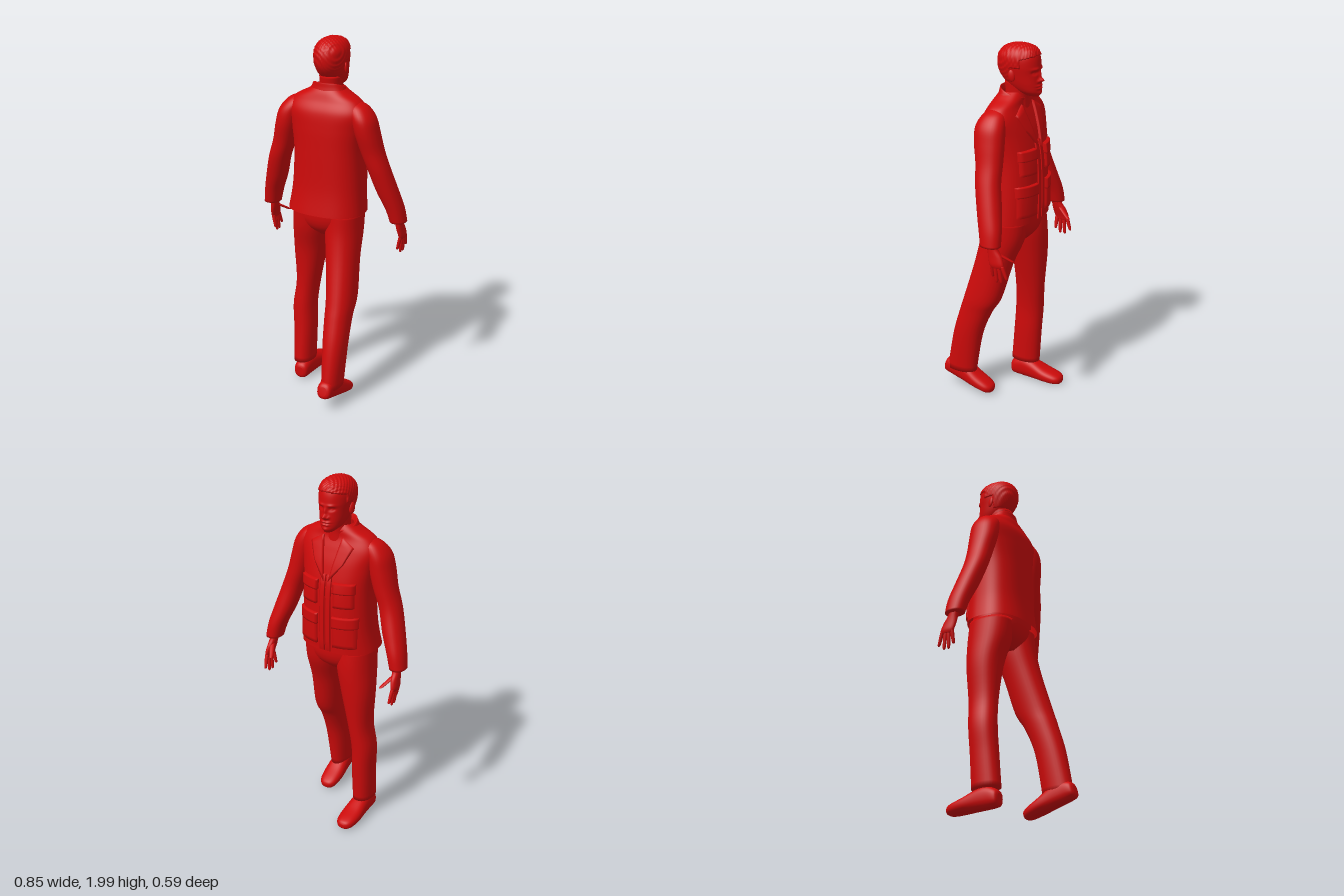
import * as THREE from 'three';

const material = new THREE.MeshStandardMaterial({ color: 0xcc0a0a, side: THREE.DoubleSide });

// Smooth interpolation through rings [cx, cy, cz, rx, r2]
function sample(rings, t) {
  const i = Math.min(Math.floor(t), rings.length - 2), f = t - i;
  const at = k => rings[Math.max(0, Math.min(rings.length - 1, k))];
  const [p, a, b, q] = [at(i - 1), at(i), at(i + 1), at(i + 2)];
  return a.map((v, k) => v + 0.5 * f * (b[k] - p[k] +
    f * (2 * p[k] - 5 * v + 4 * b[k] - q[k] + f * (3 * (v - b[k]) + q[k] - p[k]))));
}

const sp = (v, n) => Math.sign(v) * Math.pow(Math.abs(v), 2 / n);

// Skin over rounded cross-sections. Horizontal rings go upwards, upright rings go towards -z.
function loft(name, rings, { n = 2.2, seg = 32, sub = 5, upright = false, caps = true, rule } = {}) {
  const pos = [], idx = [], rows = (rings.length - 1) * sub;
  const add = (x, y, z) => {
    const p = new THREE.Vector3(x, y, z);
    if (rule) rule(p);
    pos.push(p.x, p.y, p.z);
  };
  for (let j = 0; j <= rows; j++) {
    const [cx, cy, cz, rx, r2] = sample(rings, j / sub);
    for (let i = 0; i < seg; i++) {
      const a = i / seg * Math.PI * 2, u = rx * sp(Math.cos(a), n), v = r2 * sp(Math.sin(a), n);
      upright ? add(cx + u, cy + v, cz) : add(cx + u, cy, cz + v);
    }
  }
  for (let j = 0; j < rows; j++) for (let i = 0; i < seg; i++) {
    const a = j * seg + i, b = j * seg + (i + 1) % seg;
    idx.push(a, a + seg, b, b, a + seg, b + seg);
  }
  if (caps) {
    const c = pos.length / 3, top = rows * seg;
    add(...rings[0].slice(0, 3));
    add(...rings[rings.length - 1].slice(0, 3));
    for (let i = 0; i < seg; i++) {
      const k = (i + 1) % seg;
      idx.push(c, i, k, c + 1, top + k, top + i);
    }
  }
  return meshFrom(name, pos, idx);
}

function meshFrom(name, pos, idx) {
  const g = new THREE.BufferGeometry();
  g.setAttribute('position', new THREE.Float32BufferAttribute(pos, 3));
  g.setIndex(idx);
  g.computeVertexNormals();
  const m = new THREE.Mesh(g, material);
  m.name = name;
  return m;
}

const TORSO = [
  [-0.005, 1.06, -0.06, 0.215, 0.16], [0, 1.2, -0.07, 0.2, 0.153], [0, 1.4, -0.07, 0.193, 0.145],
  [0, 1.53, -0.06, 0.207, 0.13], [0, 1.62, -0.05, 0.225, 0.11], [0, 1.68, -0.052, 0.19, 0.085],
  [0, 1.72, -0.058, 0.12, 0.075], [0, 1.75, -0.062, 0.075, 0.062]];
const TORSO_N = 2.5;

// Depth of the jacket's chest side at (x, y)
function chestZ(x, y) {
  let lo = 0, hi = TORSO.length - 1;
  for (let k = 0; k < 25; k++) {
    const m = (lo + hi) / 2;
    sample(TORSO, m)[1] < y ? lo = m : hi = m;
  }
  const [cx, , cz, rx, rz] = sample(TORSO, lo);
  const u = Math.min(0.97, Math.abs((x - cx) / rx));
  return cz - rz * Math.pow(1 - Math.pow(u, TORSO_N), 1 / TORSO_N);
}

// Raised cloth panel on the chest, between four (x, y) corners
function panel(name, side, [a, b, c, d], thick) {
  const N = 12, pos = [], idx = [];
  const soft = i => i === 0 || i === N ? 0 : Math.max(0, Math.min(1, (i - 0.5) / (N - 1)));
  for (let j = 0; j <= N; j++) for (let i = 0; i <= N; i++) {
    const u = i === N ? 1 : i === 1 ? 0.01 : i === N - 1 ? 0.99 : soft(i);
    const v = j === N ? 1 : j === 1 ? 0.01 : j === N - 1 ? 0.99 : soft(j);
    const mix = k => (a[k] * (1 - u) + b[k] * u) * (1 - v) + (d[k] * (1 - u) + c[k] * u) * v;
    const x = mix(0) * side, y = mix(1), edge = i % N === 0 || j % N === 0;
    pos.push(x, y, chestZ(x, y) - (edge ? -0.004 : thick));
  }
  for (let j = 0; j < N; j++) for (let i = 0; i < N; i++) {
    const p = j * (N + 1) + i, q = p + N + 1;
    side > 0 ? idx.push(p, q, p + 1, p + 1, q, q + 1) : idx.push(p, p + 1, q, p + 1, q + 1, q);
  }
  return meshFrom(name, pos, idx);
}
const rect = (x0, x1, y0, y1) => [[x0, y0], [x1, y0], [x1, y1], [x0, y1]];

const HEAD = [
  [0, 1.732, -0.168, 0.024, 0.038], [0, 1.755, -0.148, 0.05, 0.066], [0, 1.79, -0.121, 0.066, 0.093],
  [0, 1.84, -0.1, 0.077, 0.11], [0, 1.89, -0.094, 0.084, 0.115], [0, 1.935, -0.094, 0.081, 0.108],
  [0, 1.97, -0.098, 0.062, 0.086], [0, 1.988, -0.1, 0.035, 0.05], [0, 1.994, -0.1, 0.008, 0.01]];

// Facial relief: [x, y, width, height, push]
const FACE = [
  [0, 1.818, 0.011, 0.011, 0.024], [0, 1.845, 0.008, 0.022, 0.011], [0.017, 1.814, 0.007, 0.007, 0.009],
  [0.032, 1.858, 0.015, 0.009, -0.013], [0.032, 1.857, 0.008, 0.005, 0.006],
  [0.03, 1.877, 0.022, 0.007, 0.006], [0.012, 1.789, 0.016, 0.005, 0.007],
  [0.01, 1.775, 0.014, 0.005, 0.006], [0, 1.782, 0.024, 0.002, -0.004], [0, 1.75, 0.018, 0.011, 0.007]];

function faceRule(p) {
  if (p.z > -0.13) return;
  for (const [x, y, w, h, push] of FACE)
    p.z -= push * Math.exp(-(((Math.abs(p.x) - x) / w) ** 2) - ((p.y - y) / h) ** 2);
}

// Short rough hair: stands proud above the hairline, sinks into the head below it
function hairRule(p) {
  const line = p.z < -0.14 ? 1.925 + (-0.14 - p.z) * 0.25 : p.z < -0.085 ? 1.88 : 1.8;
  const rough = Math.sin(p.x * 310 + p.y * 170) * Math.sin(p.z * 270 + p.x * 90) * 0.003;
  const s = p.y > line ? 1.05 + rough * 8 : 0.93;
  p.set(p.x * s, p.y + (p.y > line ? 0.004 + rough * 0.6 : 0), -0.097 + (p.z + 0.097) * s);
  p.y = Math.min(p.y, 2);
}

function finger(name, base, tip, r) {
  const rings = [[0, 0.3], [0.08, 0.75], [0.4, 0.95], [0.75, 1.05], [1, 1]].map(([t, k]) => [
    ...[0, 1, 2].map(i => tip[i] + (base[i] - tip[i]) * t), r * k, r * k * 1.1]);
  return loft(name, rings, { n: 2, seg: 12, sub: 3 });
}

function hand(side, dz) {
  const g = new THREE.Group();
  g.name = side > 0 ? 'leftHand' : 'rightHand';
  const P = (x, y, z) => [side * x, y, z + dz];
  g.add(loft('palm', [
    [...P(0.387, 0.91, -0.182), 0.011, 0.036], [...P(0.388, 0.93, -0.18), 0.015, 0.042],
    [...P(0.382, 0.97, -0.168), 0.018, 0.04], [...P(0.378, 1.01, -0.152), 0.02, 0.029],
    [...P(0.375, 1.06, -0.14), 0.022, 0.029]], { seg: 20 }));
  const tips = [[0.372, 0.85, -0.15], [0.378, 0.825, -0.177], [0.38, 0.825, -0.205], [0.382, 0.85, -0.238]];
  tips.forEach((t, i) => g.add(finger('finger', P(0.388, 0.925, -0.152 - i * 0.02), P(...t), 0.0095)));
  g.add(finger('thumb', P(0.375, 0.985, -0.175), P(0.335, 0.935, -0.25), 0.012));
  return g;
}

function arm(side, dz) {
  return loft(side > 0 ? 'leftSleeve' : 'rightSleeve', [
    [0.38, 1.02, -0.14, 0.044, 0.055], [0.362, 1.1, -0.128, 0.049, 0.062], [0.328, 1.2, -0.103, 0.057, 0.066],
    [0.292, 1.32, -0.075, 0.058, 0.068], [0.258, 1.42, -0.062, 0.06, 0.073], [0.233, 1.52, -0.048, 0.063, 0.082],
    [0.212, 1.6, -0.043, 0.063, 0.08], [0.18, 1.655, -0.047, 0.055, 0.06], [0.165, 1.68, -0.05, 0.025, 0.03],
  ].map(([x, y, z, a, b]) => [side * x, y, z + dz * Math.min(1, (1.68 - y) / 0.35), a, b]));
}

function shoe(name, x) {
  const m = loft(name, [
    [0, 0.05, 0.022, 0.02, 0.025], [0, 0.052, 0.008, 0.04, 0.045], [0, 0.062, -0.05, 0.046, 0.06],
    [0, 0.058, -0.11, 0.051, 0.056], [0, 0.043, -0.19, 0.057, 0.04], [0, 0.034, -0.255, 0.051, 0.031],
    [0, 0.03, -0.285, 0.035, 0.023], [0, 0.028, -0.296, 0.014, 0.01]],
  { upright: true, n: 2.4, rule: p => { p.y = Math.max(p.y, 0.006); } });
  m.position.x = x;
  return m;
}

export function createModel() {
  const model = new THREE.Group();
  model.name = 'walkingMan';

  // Head and neck
  model.add(loft('head', HEAD, { seg: 128, sub: 12, rule: faceRule }));
  model.add(loft('hair', HEAD, { seg: 96, sub: 10, rule: hairRule }));
  model.add(loft('neck', [[0, 1.64, -0.075, 0.075, 0.07], [0, 1.72, -0.08, 0.058, 0.062],
    [0, 1.8, -0.085, 0.06, 0.072]]));
  for (const s of [1, -1]) {
    const ear = new THREE.Mesh(new THREE.SphereGeometry(1, 16, 12), material);
    ear.name = s > 0 ? 'leftEar' : 'rightEar';
    ear.scale.set(0.009, 0.031, 0.018);
    ear.position.set(s * 0.083, 1.842, -0.092);
    ear.rotation.set(0.2, s * 0.35, 0);
    model.add(ear);
  }

  // Jacket with open hem, collar, lapels and pockets
  model.add(loft('jacket', TORSO, { n: TORSO_N, seg: 64, sub: 8, caps: false }));
  model.add(loft('collar', [[0, 1.7, -0.06, 0.125, 0.078], [0, 1.745, -0.064, 0.1, 0.072],
    [0, 1.772, -0.068, 0.086, 0.072], [0, 1.745, -0.068, 0.072, 0.062]],
  { caps: false, rule: p => { p.y += Math.min(0, p.z + 0.01) * 0.4; } }));
  for (const s of [1, -1]) {
    model.add(panel('lapel', s, [[0.012, 1.46], [0.085, 1.56], [0.125, 1.645], [0.055, 1.69]], 0.012));
    model.add(panel('placket', s, rect(0.004, 0.032, 1.065, 1.5), 0.008));
    model.add(panel('chestPocket', s, rect(0.05, 0.152, 1.33, 1.44), 0.014));
    model.add(panel('chestPocketFlap', s, rect(0.046, 0.156, 1.41, 1.465), 0.02));
    model.add(panel('lowerPocket', s, rect(0.048, 0.168, 1.1, 1.25), 0.012));
    model.add(panel('lowerPocketFlap', s, rect(0.044, 0.172, 1.215, 1.275), 0.017));
    const dz = s > 0 ? 0 : 0.03;
    model.add(arm(s, dz), hand(s, dz));
  }

  // Trousers in mid-stride: right leg forward, left leg back
  model.add(loft('hips', [[0, 0.925, -0.065, 0.05, 0.07], [0, 0.97, -0.065, 0.15, 0.115],
    [0, 1.03, -0.065, 0.19, 0.135], [0, 1.12, -0.065, 0.185, 0.135]], { seg: 48 }));
  model.add(loft('rightLeg', [
    [-0.15, 0.11, -0.058, 0.055, 0.083], [-0.152, 0.3, -0.07, 0.06, 0.08], [-0.157, 0.45, -0.078, 0.063, 0.08],
    [-0.14, 0.6, -0.088, 0.063, 0.083], [-0.126, 0.8, -0.09, 0.088, 0.1], [-0.107, 0.95, -0.075, 0.1, 0.122],
    [-0.1, 1.06, -0.065, 0.1, 0.125]]));
  model.add(loft('leftLeg', [
    [0.15, 0.12, 0.185, 0.051, 0.088], [0.147, 0.35, 0.145, 0.064, 0.085], [0.141, 0.5, 0.095, 0.071, 0.093],
    [0.137, 0.6, 0.05, 0.078, 0.107], [0.115, 0.8, -0.005, 0.087, 0.107], [0.1, 0.95, -0.05, 0.098, 0.122],
    [0.098, 1.06, -0.062, 0.1, 0.125]]));

  // Shoes, the rear one lifted at the heel
  model.add(shoe('rightShoe', -0.145));
  const rear = shoe('leftShoe', 0.145);
  rear.rotation.x = -0.24;
  rear.position.set(0.145, 0.072, 0.281);
  model.add(rear);
  return model;
}
